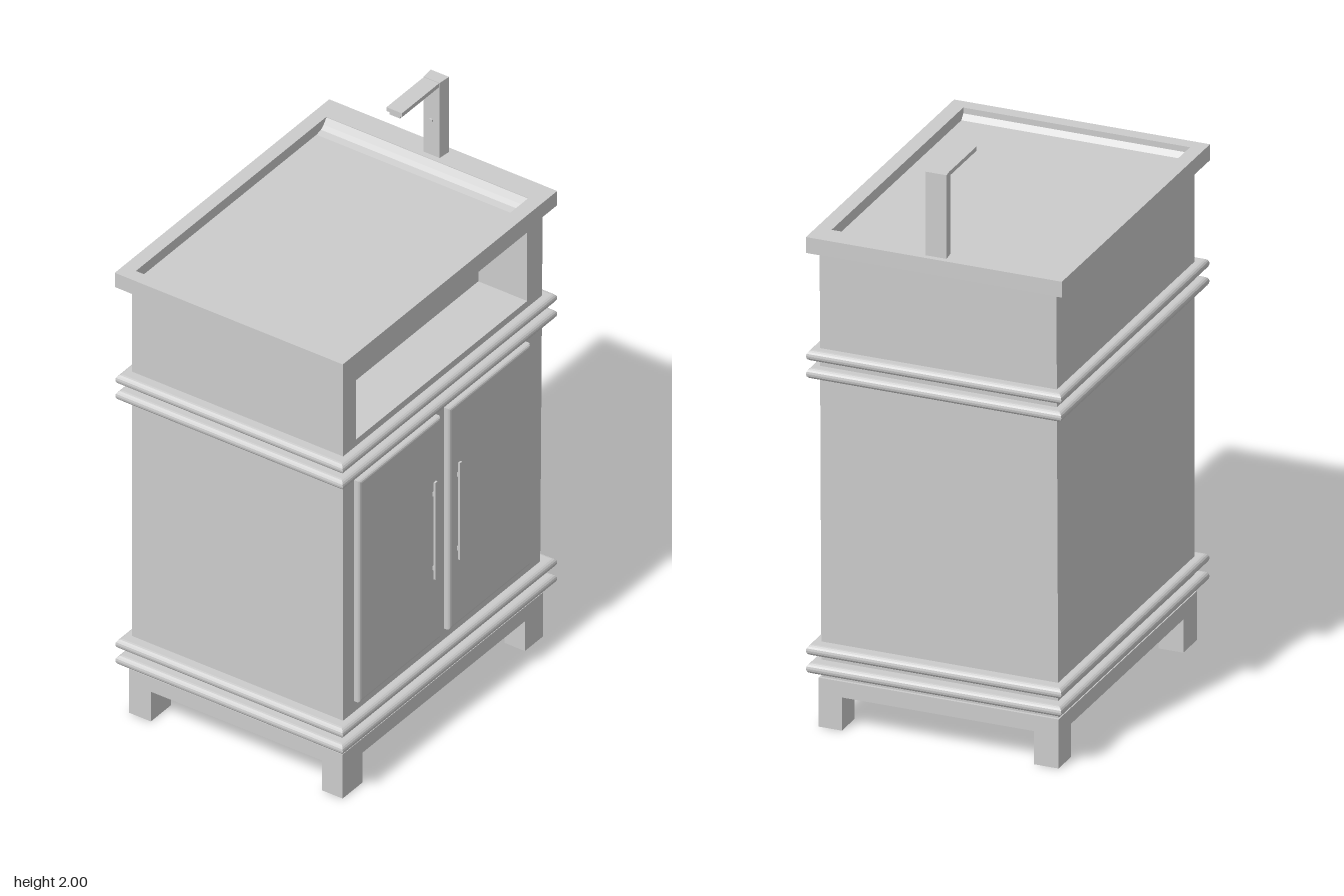
import * as THREE from 'three';

const material = new THREE.MeshStandardMaterial({ color: 0xcccccc, flatShading: true });

export function createModel() {
  const model = new THREE.Group();
  model.name = 'washstand';

  const add = (name, geometry) => {
    const mesh = new THREE.Mesh(geometry, material);
    mesh.name = name;
    model.add(mesh);
    return mesh;
  };
  // Box given by its limits on each axis
  const box = (name, x0, x1, y0, y1, z0, z1) =>
    add(name, new THREE.BoxGeometry(x1 - x0, y1 - y0, z1 - z0)
      .translate((x0 + x1) / 2, (y0 + y1) / 2, (z0 + z1) / 2));
  const polygon = (points) => new THREE.Shape(points.map(([x, y]) => new THREE.Vector2(x, y)));
  const rect = (x0, x1, y0, y1) => polygon([[x0, y0], [x1, y0], [x1, y1], [x0, y1]]);
  // Outline in x and y, extruded from z0 to z1
  const extrude = (name, shape, z0, z1) =>
    add(name, new THREE.ExtrudeGeometry(shape, { depth: z1 - z0, bevelEnabled: false }).translate(0, 0, z0));

  // Cabinet body: solid back, front section pierced by the open niche
  const outline = () => polygon([[-0.545, 0.16], [0.54, 0.16], [0.555, 1.66], [-0.545, 1.66]]);
  extrude('cabinetBack', outline(), -0.41, 0.22);
  const front = outline();
  front.holes.push(rect(-0.475, 0.47, 1.34, 1.605));
  extrude('cabinetFront', front, 0.22, 0.41);

  // Plinth and feet
  box('plinth', -0.555, 0.55, 0.115, 0.17, -0.415, 0.415);
  for (const [x0, x1] of [[-0.555, -0.445], [0.45, 0.55]]) {
    box('foot', x0, x1, 0, 0.115, 0.335, 0.415);
    box('foot', x0, x1, 0, 0.115, -0.415, -0.33);
  }

  // Round-edged mouldings in two pairs
  const r = 0.017;
  for (const y of [0.212, 0.275, 1.235, 1.297]) {
    const slab = new THREE.ExtrudeGeometry(rect(-0.592 + r, 0.59 - r, -0.442 + r, 0.442 - r), {
      depth: 0.002, bevelThickness: r, bevelSize: r, bevelSegments: 4,
    });
    add('moulding', slab.translate(0, 0, -0.001).rotateX(-Math.PI / 2).translate(0, y, 0));
  }

  // Doors with softened edges and bar handles on two posts
  for (const [x0, x1, hx] of [[-0.485, -0.035, -0.079], [0.01, 0.46, 0.056]]) {
    const b = 0.01;
    const door = new THREE.ExtrudeGeometry(rect(x0 + b, x1 - b, 0.335 + b, 1.19 - b), {
      depth: 0.015, bevelThickness: b, bevelSize: b, bevelSegments: 3,
    });
    add('door', door.translate(0, 0, 0.407));
    box('handle', hx - 0.006, hx + 0.006, 0.59, 0.965, 0.438, 0.445);
    for (const y of [0.63, 0.915])
      box('handlePost', hx - 0.004, hx + 0.004, y - 0.008, y + 0.008, 0.43, 0.439);
  }

  // Counter rim around a shallow basin
  const rim = rect(-0.592, 0.59, -0.442, 0.444);
  rim.holes.push(rect(-0.545, 0.505, -0.39, 0.395));
  add('counterRim', new THREE.ExtrudeGeometry(rim, { depth: 0.055, bevelEnabled: false })
    .rotateX(-Math.PI / 2).translate(0, 1.655, 0));
  // Basin floor rises to the rim on the tap side
  extrude('basinFloor', polygon([[-0.545, 1.657], [0.505, 1.657], [0.505, 1.708], [0.49, 1.688],
    [0.475, 1.677], [0.45, 1.672], [-0.53, 1.672], [-0.545, 1.69]]), -0.395, 0.39);

  // Tap: column flaring slightly outward, flat spout, outlet lip
  const column = new THREE.BoxGeometry(0.045, 0.29, 0.064).translate(0.5475, 1.855, 0);
  const p = column.attributes.position;
  for (let i = 0; i < p.count; i++)
    p.setZ(i, Math.sign(p.getZ(i)) * (p.getX(i) > 0.5475 ? 0.036 : 0.031));
  column.computeVertexNormals();
  add('tapColumn', column);
  box('tapSpout', 0.32, 0.53, 1.983, 1.998, -0.031, 0.029);
  box('tapOutlet', 0.322, 0.338, 1.973, 1.984, -0.02, 0.02);
  box('tapButton', 0.519, 0.527, 1.842, 1.85, -0.006, 0.006);

  return model;
}
